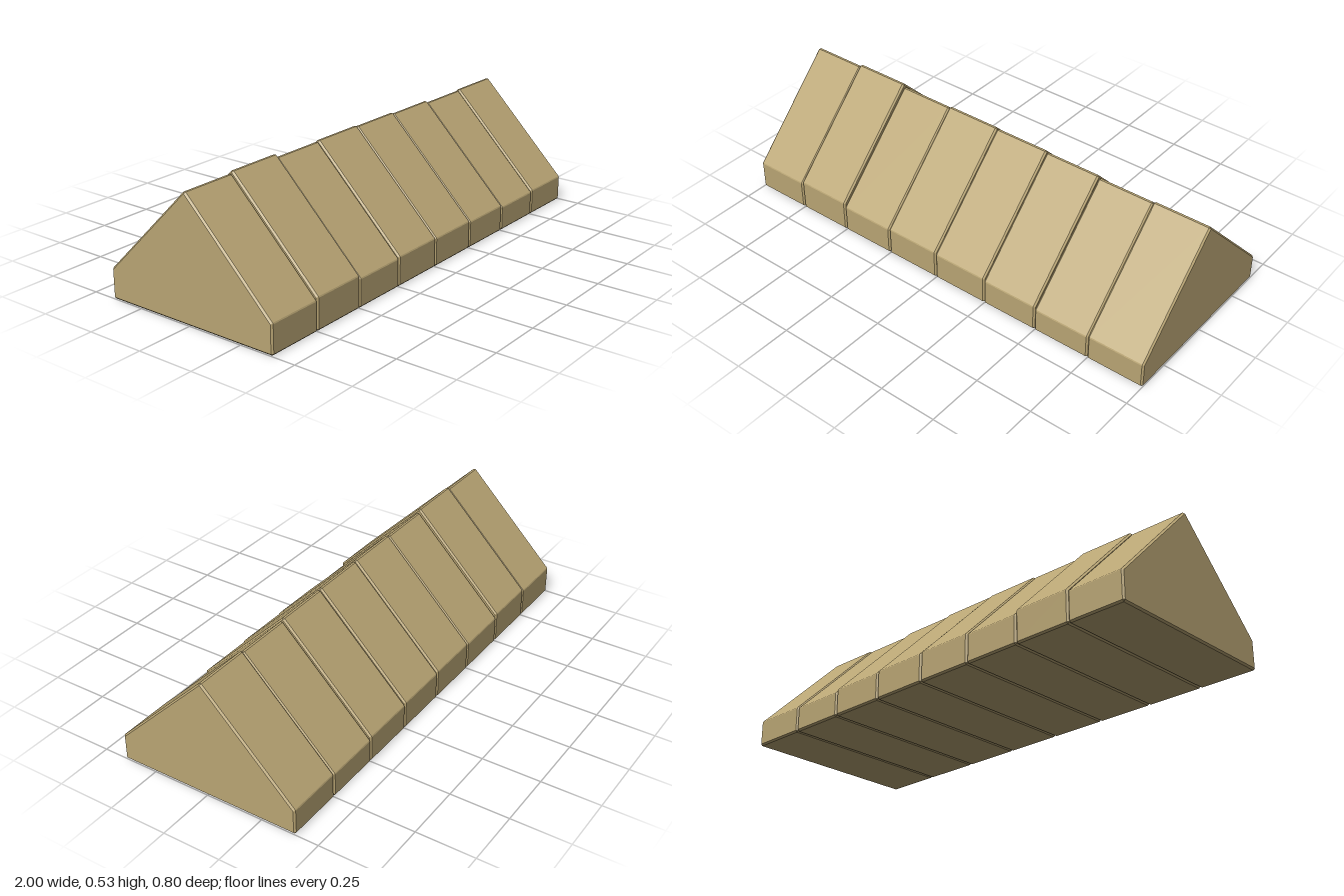
import * as THREE from 'three';
import { ConvexGeometry } from 'three/addons/geometries/ConvexGeometry.js';

const HALF_DEPTH = 0.4, BLOCK = 0.25, BEVEL = 0.007;
const HEIGHTS = [0.52, 0.53, 0.515, 0.52, 0.516, 0.51, 0.5, 0.505];

// Gabled block with every edge chamfered
function blockGeometry(height) {
  const peak = height + BEVEL * Math.SQRT1_2; // sharp ridge before chamfering
  const shoulder = peak - HALF_DEPTH; // 45 degree slopes
  const profile = [
    [-HALF_DEPTH, 0], [HALF_DEPTH, 0], [HALF_DEPTH, shoulder], [0, peak], [-HALF_DEPTH, shoulder],
  ].map(([z, y]) => new THREE.Vector2(z, y));
  const points = [];
  profile.forEach((corner, i) => {
    const n = profile.length;
    const toPrev = profile[(i + n - 1) % n].clone().sub(corner).normalize();
    const toNext = profile[(i + 1) % n].clone().sub(corner).normalize();
    const halfAngle = Math.acos(toPrev.dot(toNext)) / 2;
    const setback = BEVEL / Math.tan(halfAngle);
    const inset = toPrev.clone().add(toNext).setLength(BEVEL / Math.sin(halfAngle)).add(corner);
    for (const side of [-1, 1]) {
      // inset corner on the end face, then the two chamfer corners behind it
      points.push(new THREE.Vector3(side * BLOCK / 2, inset.y, inset.x));
      for (const dir of [toPrev, toNext]) {
        const p = corner.clone().addScaledVector(dir, setback);
        points.push(new THREE.Vector3(side * (BLOCK / 2 - BEVEL), p.y, p.x));
      }
    }
  });
  return new ConvexGeometry(points);
}

export function createModel() {
  const model = new THREE.Group();
  model.name = 'ridgeCoping';
  const stone = new THREE.MeshStandardMaterial({ color: 0xb9a574 });
  stone.name = 'sandstone';

  // Row of blocks with slightly uneven heights
  HEIGHTS.forEach((height, i) => {
    const block = new THREE.Mesh(blockGeometry(height), stone);
    block.name = `ridgeBlock${i + 1}`;
    block.position.x = -1 + BLOCK * (i + 0.5);
    model.add(block);
  });
  return model;
}
